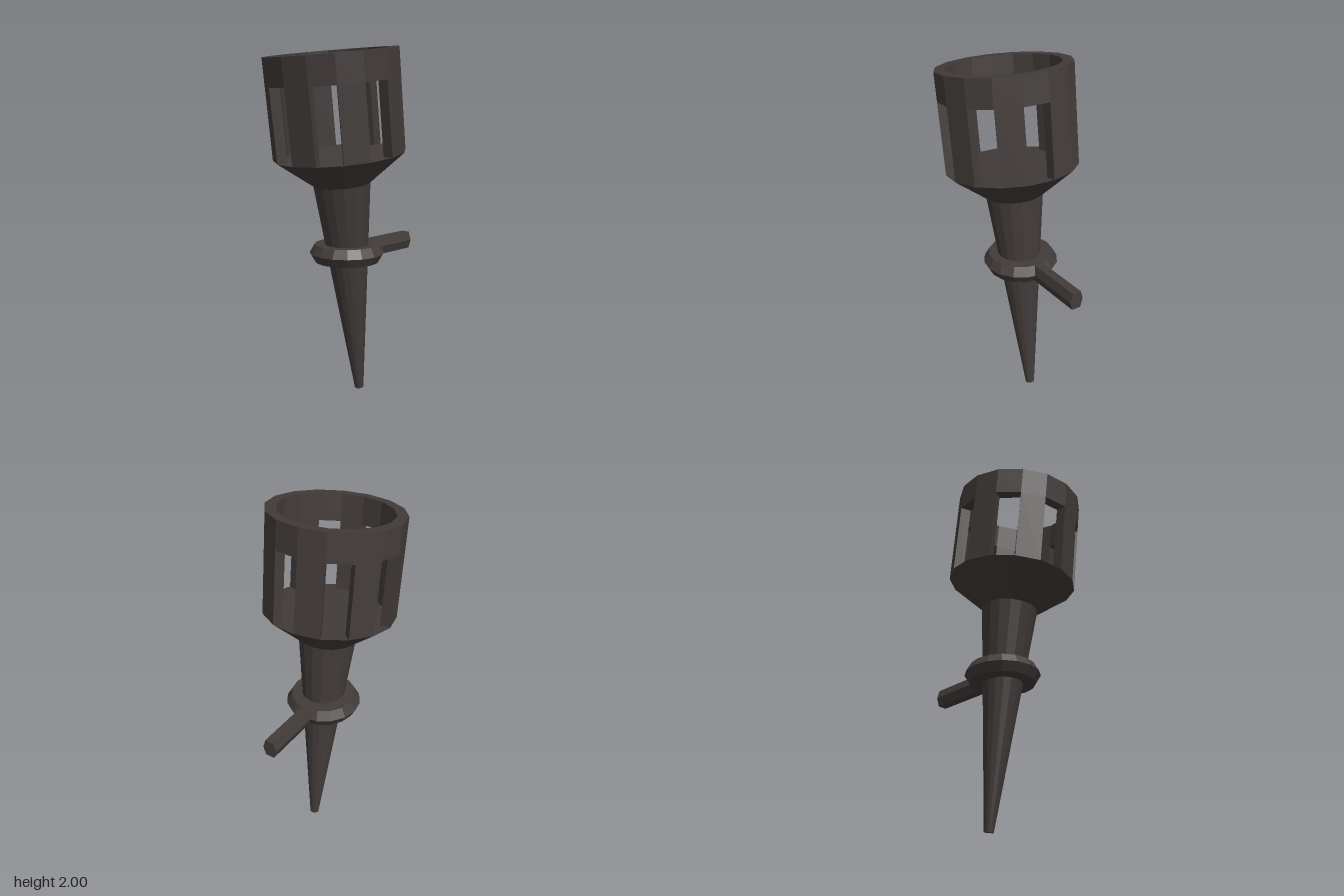
import * as THREE from 'three';

const SIDES = 16;
const iron = new THREE.MeshStandardMaterial({ color: 0x423c3a });
iron.name = 'dark iron';

// Faceted mesh with one normal per face
function part(name, geometry) {
  const geo = geometry.index ? geometry.toNonIndexed() : geometry;
  geo.computeVertexNormals();
  const mesh = new THREE.Mesh(geo, iron);
  mesh.name = name;
  return mesh;
}

const polar = (r, k) => {
  const a = (k / SIDES) * Math.PI * 2;
  return new THREE.Vector2(r * Math.cos(a), -r * Math.sin(a));
};
const polygon = (r) => Array.from({ length: SIDES }, (_, k) => polar(r, k));

// Upright prism over a plan outline (plan y is -z)
function prism(shape, bottom, top) {
  return new THREE.ExtrudeGeometry(shape, { depth: top - bottom, bevelEnabled: false })
    .rotateX(-Math.PI / 2)
    .translate(0, bottom, 0);
}

const lathe = (points) =>
  new THREE.LatheGeometry(points.map(([r, y]) => new THREE.Vector2(r, y)), SIDES);

export function createModel() {
  const model = new THREE.Group();
  model.name = 'wallTorch';

  const FLOOR = 1.417, WINDOW_TOP = 1.815, TOP = 1.967;
  const OUTER = 0.366, INNER = 0.307;

  // Leaning torch: spike, flared cup floor and slotted basket
  const torch = new THREE.Group();
  torch.name = 'torch';
  torch.position.set(0.09, 0.0035, 0);
  torch.rotation.z = THREE.MathUtils.degToRad(7);
  model.add(torch);

  torch.add(part('spike', lathe([[0, 0], [0.026, 0], [0.16, 1.255]])));
  torch.add(part('flaredCup', lathe([[0.16, 1.255], [OUTER, FLOOR], [0, FLOOR]])));

  // Basket bars fill every other segment
  for (let k = 1; k < SIDES; k += 2) {
    const plan = new THREE.Shape([
      polar(INNER, k), polar(OUTER, k), polar(OUTER, k + 1), polar(INNER, k + 1),
    ]);
    torch.add(part('basketBar', prism(plan, FLOOR, WINDOW_TOP)));
  }

  // Closed rim over the bars; the hole runs opposite to the outline
  const rim = new THREE.Shape(polygon(OUTER));
  rim.holes.push(new THREE.Path(polygon(INNER).reverse()));
  torch.add(part('basketRim', prism(rim, WINDOW_TOP, TOP)));

  // Level bracket: collar with a pointed edge, and a hexagonal arm
  const bracket = new THREE.Group();
  bracket.name = 'bracket';
  bracket.position.set(-0.014, 0.85, -0.006);
  bracket.rotation.y = -0.054;
  model.add(bracket);

  bracket.add(part('bracketCollar', lathe([
    [0.09, -0.05], [0.184, -0.05], [0.213, 0], [0.184, 0.05], [0.09, 0.05],
  ])));

  const hex = [[0.042, 0], [0.026, 0.05], [-0.026, 0.05], [-0.042, 0], [-0.026, -0.05], [0.026, -0.05]];
  const armShape = new THREE.Shape(hex.map(([x, y]) => new THREE.Vector2(x, y)));
  const arm = new THREE.ExtrudeGeometry(armShape, { depth: 0.374, bevelEnabled: false })
    .rotateY(Math.PI / 2)
    .translate(0.15, 0, 0);
  bracket.add(part('bracketArm', arm));

  return model;
}
